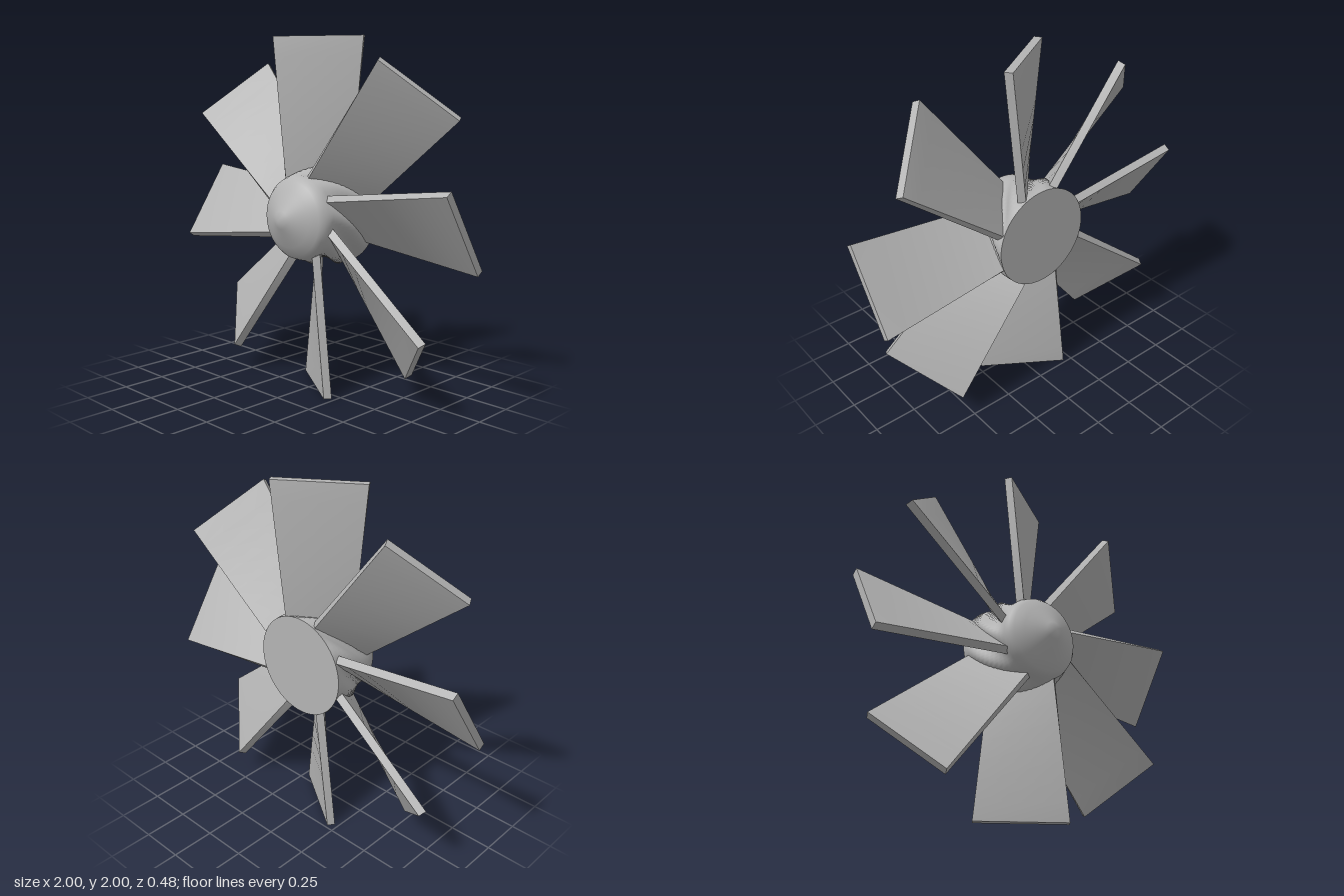
import * as THREE from 'three';
import { mergeVertices } from 'three/addons/utils/BufferGeometryUtils.js';

const BLADES = 8;
const MID_Z = -0.075; // depth of the blade centreline
const lerp = THREE.MathUtils.lerp;

// Twisted, tapering blade pointing up, its left edge forward
function bladeGeometry() {
  const g = new THREE.BoxGeometry(1, 1, 1, 1, 8, 1);
  const p = g.attributes.position;
  for (let i = 0; i < p.count; i++) {
    const r = lerp(0.12, 1, p.getY(i) + 0.5);
    const dx = lerp(0.12, 0.213, (r - 0.2) / 0.8);
    const dz = -0.14;
    const len = Math.hypot(dx, dz);
    const along = p.getX(i) * 2;
    const thick = (p.getZ(i) * 0.045) / len;
    p.setXYZ(i, dx * along - dz * thick, r, MID_Z + dz * along + dx * thick);
  }
  g.computeVertexNormals();
  return g;
}

// Round hub with a pointed nose, swelling gently along the front of each blade
function hubGeometry() {
  const side = [];
  for (let i = 0; i <= 14; i++) {
    const t = i / 14;
    side.push(new THREE.Vector2(lerp(0.288, 0.238, t), lerp(-0.24, 0.08, t)));
  }
  const nose = [[0.228, 0.108], [0.208, 0.132], [0.16, 0.161], [0.105, 0.19], [0.05, 0.217], [0, 0.24]];
  const profile = side.concat(nose.map(([r, z]) => new THREE.Vector2(r, z)));
  let g = new THREE.LatheGeometry(profile, 96);
  g.rotateX(Math.PI / 2);
  g.deleteAttribute('uv');
  g.deleteAttribute('normal');
  g = mergeVertices(g, 1e-5);
  const p = g.attributes.position;
  for (let i = 0; i < p.count; i++) {
    const x = p.getX(i), y = p.getY(i), z = p.getZ(i);
    if (z > 0.08 || z < -0.239) continue;
    const fade = Math.sin((Math.PI * (z + 0.24)) / 0.32);
    const u = Math.atan2(x, y) + ((z - MID_Z) * 0.9) / 0.27;
    const k = 1 + 0.1 * fade * Math.sin(BLADES * u);
    p.setXY(i, x * k, y * k);
  }
  g.computeVertexNormals();
  return g;
}

export function createModel() {
  const model = new THREE.Group();
  model.name = 'fanRotor';
  const grey = new THREE.MeshStandardMaterial({ color: 0xb4b4b4 });
  grey.name = 'grey';

  const rotor = new THREE.Group();
  rotor.name = 'rotor';
  rotor.position.y = 1;
  model.add(rotor);

  const hub = new THREE.Mesh(hubGeometry(), grey);
  hub.name = 'hub';
  rotor.add(hub);

  // Flat back of the hub
  const back = new THREE.Mesh(new THREE.CircleGeometry(0.288, 96), grey);
  back.name = 'hubBack';
  back.position.z = -0.24;
  back.rotation.y = Math.PI;
  rotor.add(back);

  // Ring of blades
  const blade = bladeGeometry();
  for (let i = 0; i < BLADES; i++) {
    const mesh = new THREE.Mesh(blade, grey);
    mesh.name = `blade${i + 1}`;
    mesh.rotation.z = (i * Math.PI * 2) / BLADES;
    rotor.add(mesh);
  }
  return model;
}
